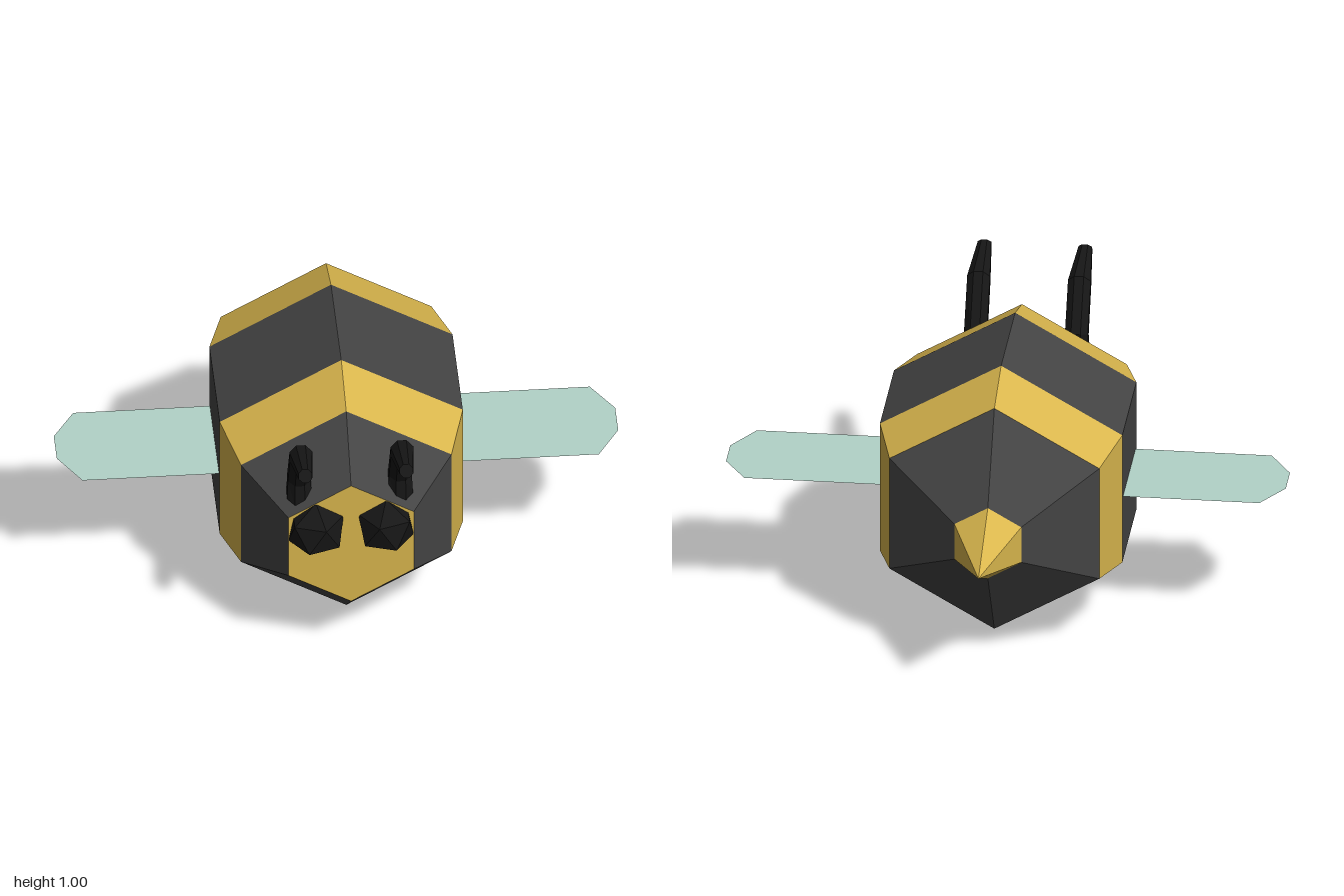
import * as THREE from 'three';

const mat = (color, side = THREE.FrontSide) =>
  new THREE.MeshStandardMaterial({ color, side, flatShading: true });
const yellow = mat(0xd9b64d);
const charcoal = mat(0x444444);
const black = mat(0x161616);
const wingMat = mat(0xb2d3c8, THREE.DoubleSide);

// Ring of points around (y, z); tilt leans the ring about the x axis.
function ring({ y, z, r, tilt = 0 }, sides) {
  return Array.from({ length: sides }, (_, i) => {
    const a = ((i + 0.5) / sides) * Math.PI * 2;
    const up = r * Math.sin(a);
    return [r * Math.cos(a), y + up * Math.cos(tilt), z - up * Math.sin(tilt)];
  });
}

// Faceted skin through rings listed front to back, with optional end caps.
function loft(stations, sides, capFront = false, capBack = false) {
  const rings = stations.map((s) => ring(s, sides));
  const p = [];
  for (let k = 0; k < rings.length - 1; k++) {
    const a = rings[k], b = rings[k + 1];
    for (let i = 0; i < sides; i++) {
      const j = (i + 1) % sides;
      p.push(...a[i], ...b[i], ...b[j]);
      if (stations[k].r > 0) p.push(...a[i], ...b[j], ...a[j]);
    }
  }
  const first = rings[0], last = rings[rings.length - 1];
  for (let i = 1; i < sides - 1; i++) {
    if (capFront) p.push(...first[0], ...first[i], ...first[i + 1]);
    if (capBack) p.push(...last[0], ...last[i + 1], ...last[i]);
  }
  const g = new THREE.BufferGeometry();
  g.setAttribute('position', new THREE.Float32BufferAttribute(p, 3));
  g.computeVertexNormals();
  return g;
}

function add(parent, name, geometry, material) {
  const m = new THREE.Mesh(geometry, material);
  m.name = name;
  parent.add(m);
  return m;
}

export function createModel() {
  const bee = new THREE.Group();
  bee.name = 'bee';

  // Striped hexagonal body, from face to sting
  const body = new THREE.Group();
  body.name = 'body';
  bee.add(body);
  const stations = [
    [0.68, 0.258], [0.473, 0.433], [0.26, 0.5], [-0.18, 0.5],
    [-0.393, 0.433], [-0.598, 0.138], [-0.893, 0],
  ].map(([z, r]) => ({ y: 0.5, z, r }));
  const bands = [
    ['headBand', charcoal], ['frontStripe', yellow], ['middleBand', charcoal],
    ['rearStripe', yellow], ['tailBand', charcoal], ['sting', yellow],
  ];
  bands.forEach(([name, m], i) => add(body, name, loft(stations.slice(i, i + 2), 6), m));

  // Flat face closing the front
  const face = new THREE.CircleGeometry(0.258, 6, Math.PI / 6);
  add(body, 'face', face, yellow).position.set(0, 0.5, 0.68);

  // Bent antenna, tip to base
  const antenna = loft([
    { y: 0.97, z: 0.885, r: 0.026, tilt: 0.64 },
    { y: 0.916, z: 0.7, r: 0.044, tilt: 0.45 },
    { y: 0.76, z: 0.613, r: 0.044, tilt: 1.2 },
    { y: 0.69, z: 0.62, r: 0.048, tilt: 0.98 },
  ], 8, true, true);

  for (const [side, s] of [['left', 1], ['right', -1]]) {
    add(bee, side + 'Antenna', antenna, black).position.x = s * 0.18;

    const eye = add(bee, side + 'Eye', new THREE.IcosahedronGeometry(0.11, 0), black);
    eye.position.set(s * 0.125, 0.575, 0.675);
    eye.rotation.z = s * 0.553;

    // Thin level wing with clipped tip corners
    const outline = [
      [0.4, -0.16], [0.92, -0.16], [1, -0.03], [1, 0.1], [0.92, 0.235], [0.4, 0.235],
    ].map(([x, z]) => new THREE.Vector2(s * x, -z));
    const wing = new THREE.ShapeGeometry(new THREE.Shape(outline)).rotateX(-Math.PI / 2);
    add(bee, side + 'Wing', wing, wingMat).position.y = 0.5;
  }
  return bee;
}
